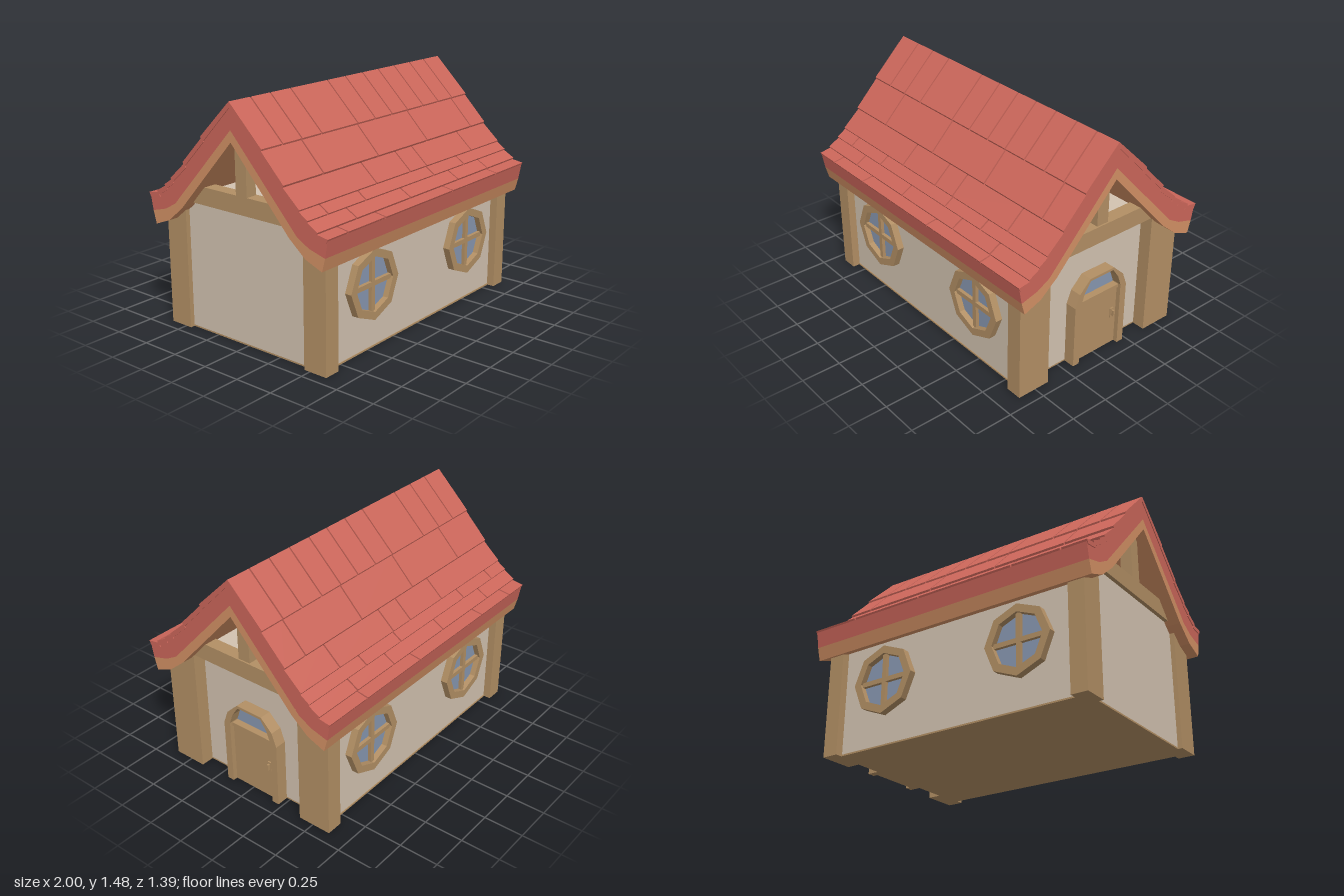
import * as THREE from 'three';

const flat = (name, color) => {
  const m = new THREE.MeshStandardMaterial({ color });
  m.name = name;
  return m;
};

export function createModel() {
  const house = new THREE.Group();
  house.name = 'cottage';
  const red = flat('roof red', 0xcb665a);
  const wood = flat('wood', 0xb28f64);
  const trim = flat('orange trim', 0xd29064);
  const cream = flat('plaster', 0xd2c2b0);
  const glass = flat('glass', 0x8797b0);

  const add = (geo, mat, name, parent = house) => {
    const mesh = new THREE.Mesh(geo, mat);
    mesh.name = name;
    parent.add(mesh);
    return mesh;
  };
  const shapeOf = pts => new THREE.Shape(pts.map(p => new THREE.Vector2(p[0], p[1])));
  const extrude = (shape, depth) => new THREE.ExtrudeGeometry(shape, { depth, bevelEnabled: false });
  // Outline in (-z, y), extruded along x from x0 to x1
  const prism = (pts, x0, x1, mat, name, parent) =>
    add(extrude(shapeOf(pts), x1 - x0).rotateY(Math.PI / 2).translate(x0, 0, 0), mat, name, parent);
  const box = (x0, x1, y0, y1, z0, z1, mat, name, parent) =>
    add(new THREE.BoxGeometry(x1 - x0, y1 - y0, z1 - z0)
      .translate((x0 + x1) / 2, (y0 + y1) / 2, (z0 + z1) / 2), mat, name, parent);
  const flip = pts => pts.map(([a, b]) => [-a, b]).reverse();
  // Closes a half outline (centre line to centre line) with its mirror image
  const mirrored = pts => [...pts, ...flip(pts).filter(p => p[0] !== 0)];

  // Plaster body, floor and attic partition
  prism(mirrored([[0.57, 0.01], [0.57, 0.72], [0.36, 0.88]]), -0.9, 0.84, cream, 'walls');
  box(-0.9, 0.84, 0, 0.01, -0.575, 0.575, wood, 'floor');
  prism([[-0.38, 0.87], [0.38, 0.87], [0, 1.27]], -0.02, 0.02, wood, 'atticPartition');

  // Corner posts
  const post = inner => [[inner, 0], [0.62, 0], [0.62, 0.69], [inner, inner > 0.42 ? 0.8 : 0.84]];
  for (const [x0, x1, inner] of [[0.82, 0.925, 0.4], [-0.93, -0.825, 0.46]]) {
    prism(post(inner), x0, x1, wood, 'cornerPost');
    prism(flip(post(inner)), x0, x1, wood, 'cornerPost');
  }

  // Gable beams and king posts
  for (const [x0, x1] of [[0.835, 0.92], [-0.925, -0.84]]) {
    prism([[-0.43, 0.81], [0.43, 0.81], [0.32, 0.92], [-0.32, 0.92]], x0, x1, wood, 'gableBeam');
    box(x0, x1 - 0.01, 0.91, 1.26, -0.042, 0.042, wood, 'kingPost');
  }

  // Curved wooden roof frame under the tiles
  const seam = [[0, 1.315], [0.475, 0.805], [0.56, 0.757], [0.672, 0.726]];
  const soffit = [[0.65, 0.645], [0.535, 0.69], [0.42, 0.785], [0, 1.245]];
  prism(mirrored([...seam, ...soffit]), -0.995, 0.995, trim, 'roofFrame');

  // Red roof shell
  const shell = [[0, 1.452], [0.222, 1.224], [0.378, 1.048], [0.49, 0.936],
    [0.55, 0.89], [0.615, 0.842], [0.69, 0.826]];
  prism(mirrored([...shell, ...[...seam].reverse()]), -0.995, 0.995, red, 'roofShell');

  // Overlapping tile rows: top edge, bottom edge, joints along x
  const rows = [
    [[0, 1.475], [0.235, 1.245], [-0.83, -0.67, -0.5, -0.17, 0, 0.17, 0.33, 0.5, 0.67, 0.83]],
    [[0.222, 1.244], [0.39, 1.072], [-0.67, -0.17, 0.33, 0.83]],
    [[0.378, 1.066], [0.5, 0.958], [-0.33, 0, 0.17, 0.67]],
    [[0.488, 0.954], [0.556, 0.91], [-0.83, -0.5, 0.17, 0.5]],
    [[0.545, 0.905], [0.625, 0.86], [-0.67, -0.17, 0.33, 0.67]],
    [[0.612, 0.85], [0.695, 0.837], [-0.83, -0.5, 0.17, 0.67]],
  ];
  const tiles = new THREE.Group();
  tiles.name = 'roofTiles';
  house.add(tiles);
  for (const [a, b, joints] of rows) {
    const drop = a[0] === 0 ? 0.035 : 0.026;
    const inset = a[0] === 0 ? 0 : 0.012;
    const tile = [a, [a[0] - inset, a[1] - drop], [b[0] - 0.012, b[1] - drop], b];
    const edges = [-1, ...joints, 1];
    for (let i = 0; i < edges.length - 1; i++) {
      const x0 = edges[i] + (i ? 0.005 : 0);
      const x1 = edges[i + 1] - (i < edges.length - 2 ? 0.005 : 0);
      prism(tile, x0, x1, red, 'tile', tiles);
      prism(flip(tile), x0, x1, red, 'tile', tiles);
    }
  }

  // Octagonal windows on both long walls
  const octagon = r => Array.from({ length: 8 }, (_, i) =>
    [r * Math.cos(i * Math.PI / 4), r * Math.sin(i * Math.PI / 4)]);
  const ring = shapeOf(octagon(0.22));
  ring.holes.push(new THREE.Path(octagon(0.17).reverse().map(p => new THREE.Vector2(...p))));
  for (const side of [1, -1]) for (const x of [-0.485, 0.49]) {
    const win = new THREE.Group();
    win.name = 'window';
    win.position.set(x, 0.413, side * 0.57);
    win.rotation.y = side > 0 ? 0 : Math.PI;
    house.add(win);
    add(extrude(ring, 0.045), wood, 'windowFrame', win);
    add(extrude(shapeOf(octagon(0.18)), 0.008), glass, 'windowPane', win);
    box(-0.015, 0.015, -0.17, 0.17, 0, 0.03, wood, 'verticalBar', win);
    box(-0.17, 0.17, -0.015, 0.015, 0, 0.03, wood, 'horizontalBar', win);
  }

  // Arched door in the right gable wall
  const door = new THREE.Group();
  door.name = 'door';
  door.position.z = -0.0175;
  house.add(door);
  const outer = [[0.207, 0], [0.207, 0.42], [0.175, 0.505], [0.095, 0.582]];
  const inner = [[0.16, 0], [0.16, 0.43], [0.135, 0.5], [0.09, 0.565]];
  prism([...outer, ...flip(outer), ...flip(inner).reverse(), ...[...inner].reverse()],
    0.83, 0.915, wood, 'doorFrame', door);
  box(0.83, 0.885, 0, 0.402, -0.162, 0.162, wood, 'doorLeaf', door);
  box(0.83, 0.895, 0.402, 0.425, -0.162, 0.162, wood, 'transom', door);
  prism(mirrored([[0.162, 0.42], [0.162, 0.43], [0.137, 0.5], [0.092, 0.567]]),
    0.842, 0.85, glass, 'doorPane', door);
  // Handle plate with a raised grip
  box(0.88, 0.893, 0.195, 0.262, -0.138, -0.112, wood, 'handlePlate', door);
  box(0.89, 0.91, 0.21, 0.25, -0.13, -0.12, wood, 'handleGrip', door);

  return house;
}
